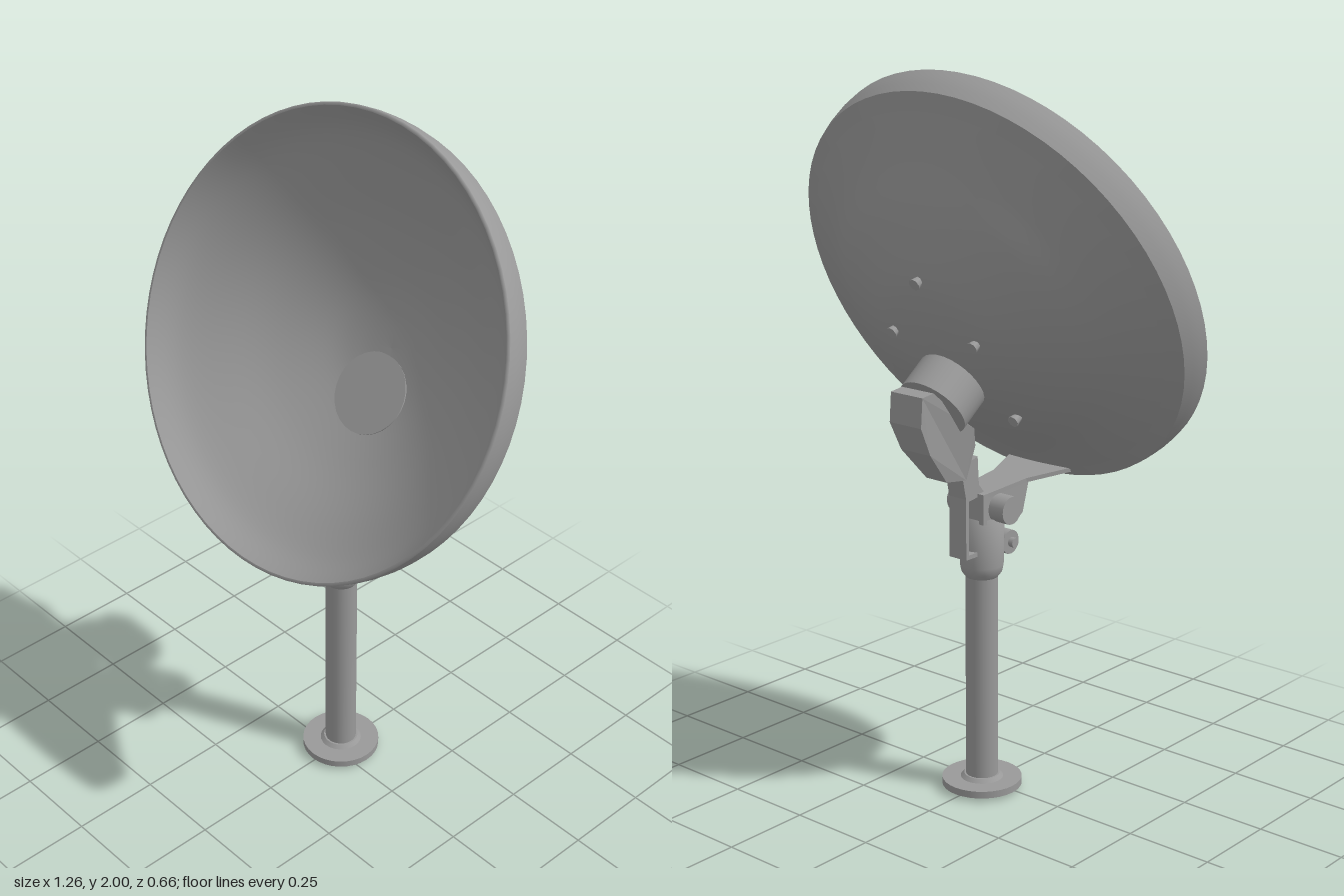
import * as THREE from 'three';

const grey = new THREE.MeshStandardMaterial({ color: 0x999999, side: THREE.DoubleSide });
grey.name = 'grey metal';
const POLE_Z = -0.029;

function add(parent, name, geometry, x = 0, y = 0, z = 0) {
  const mesh = new THREE.Mesh(geometry, grey);
  mesh.name = name;
  mesh.position.set(x, y, z);
  parent.add(mesh);
  return mesh;
}

// Outline of [z, y] points given a width across x
function sidePlate(points, width) {
  const shape = new THREE.Shape(points.map(([z, y]) => new THREE.Vector2(z, y)));
  const g = new THREE.ExtrudeGeometry(shape, { depth: width, bevelEnabled: false });
  return g.translate(0, 0, -width / 2).rotateY(-Math.PI / 2);
}

// Surface of revolution through [radius, height] points
const toVectors = (points) => points.map(([r, y]) => new THREE.Vector2(r, y));
const lathe = (points) => new THREE.LatheGeometry(toVectors(points), 72);

// Surface of revolution with a smooth curve through the points
function smoothLathe(points) {
  const curve = new THREE.SplineCurve(toVectors(points)).getPoints(28);
  return lathe(curve.map((p) => [Math.max(p.x, 0), p.y]));
}

function makeDish() {
  const dish = new THREE.Group();
  dish.name = 'dish';
  dish.position.set(0, 1.445, 0.075);
  dish.rotation.x = 1.14;
  dish.scale.z = 0.975;

  add(dish, 'bowlBack', smoothLathe([
    [0, -0.326], [0.1, -0.32], [0.2, -0.298], [0.34, -0.236], [0.46, -0.165], [0.57, -0.108],
  ]));
  add(dish, 'rimStep', lathe([[0.57, -0.108], [0.616, -0.088]]));
  add(dish, 'rimBand', lathe([[0.616, -0.088], [0.624, -0.06], [0.629, -0.03], [0.63, -0.003]]));
  add(dish, 'rimLip', lathe([[0.63, -0.003], [0.627, 0.001], [0.621, 0]]));
  add(dish, 'bowlInside', smoothLathe([
    [0.621, 0], [0.565, -0.072], [0.46, -0.148], [0.34, -0.222], [0.2, -0.284], [0.1, -0.307], [0, -0.313],
  ]));

  // Hub passing through the lower part of the bowl
  const hub = new THREE.Group();
  hub.name = 'hub';
  hub.position.set(0, -0.289, 0.134);
  hub.rotation.x = -0.22;
  dish.add(hub);
  add(hub, 'hubFace', new THREE.CylinderGeometry(0.117, 0.117, 0.01, 28), 0, -0.003, 0);
  add(hub, 'hubBarrel', new THREE.CylinderGeometry(0.1, 0.1, 0.1, 28), 0, -0.064, 0);

  // Small studs on the bowl's back
  for (const [x, up] of [[0, 0.18], [-0.14, 0.01], [0.14, 0.01], [-0.14, -0.27], [0.14, -0.27]]) {
    const y = -0.326 + 0.75 * (x * x + up * up);
    add(dish, 'stud', new THREE.CylinderGeometry(0.012, 0.017, 0.026, 8), x, y - 0.006, -up);
  }
  return dish;
}

function makeMount() {
  const mount = new THREE.Group();
  mount.name = 'mount';

  // Collar and head around the top of the pole
  add(mount, 'collar', lathe([[0.045, 0.625], [0.056, 0.64], [0.06, 0.66], [0.062, 0.8], [0, 0.8]]), 0, 0, POLE_Z);
  add(mount, 'head', sidePlate([[0.11, 0.875], [0.085, 0.79], [0.05, 0.765], [-0.08, 0.79], [-0.08, 0.875]], 0.1));
  const pivot = add(mount, 'pivotBarrel', new THREE.CylinderGeometry(0.039, 0.039, 0.2, 20), 0, 0.828, -0.02);
  pivot.rotation.z = Math.PI / 2;

  // Clamp bolt on the front of the collar
  const knob = add(mount, 'clampKnob', new THREE.CylinderGeometry(0.034, 0.034, 0.06, 16), 0, 0.705, 0.058);
  knob.rotation.z = Math.PI / 2;
  const bolt = add(mount, 'clampBolt', new THREE.CylinderGeometry(0.014, 0.014, 0.09, 10), 0, 0.705, 0.06);
  bolt.rotation.z = Math.PI / 2;

  // Thin flared tongue reaching to the lower edge of the dish
  const outline = [[-0.05, 0.06], [0.05, 0.06], [0.06, -0.09], [0.11, -0.22], [-0.11, -0.22], [-0.06, -0.09]];
  const tongue = new THREE.ExtrudeGeometry(
    new THREE.Shape(toVectors(outline)),
    { depth: 0.012, bevelEnabled: false },
  );
  add(mount, 'tongue', tongue.rotateX(-Math.PI / 2), 0, 0.868, 0).rotation.x = -0.08;

  // Rear link and strap
  add(mount, 'rearLink', sidePlate([
    [-0.05, 0.87], [-0.075, 0.9], [-0.08, 0.98], [-0.115, 0.97], [-0.14, 0.93], [-0.125, 0.86],
  ], 0.06));
  add(mount, 'rearStrap', new THREE.BoxGeometry(0.06, 0.18, 0.012), 0, 0.79, -0.121);
  add(mount, 'strapFoot', new THREE.BoxGeometry(0.06, 0.012, 0.05), 0, 0.704, -0.102);

  // Support arm, narrowing toward its lower end
  const arm = sidePlate([
    [-0.28, 1.195], [-0.322, 1.19], [-0.328, 1.11], [-0.29, 1.03], [-0.21, 0.937],
    [-0.13, 0.925], [-0.112, 1.02], [-0.122, 1.07], [-0.165, 1.1],
  ], 0.11);
  const p = arm.attributes.position;
  for (let i = 0; i < p.count; i++) {
    const t = THREE.MathUtils.clamp((p.getY(i) - 0.92) / 0.13, 0, 1);
    p.setX(i, p.getX(i) * (0.6 + 0.4 * t));
  }
  arm.computeVertexNormals();
  add(mount, 'supportArm', arm);
  return mount;
}

export function createModel() {
  const model = new THREE.Group();
  model.name = 'satelliteDish';

  // Round foot and pole
  add(model, 'foot', new THREE.CylinderGeometry(0.112, 0.112, 0.02, 32), 0, 0.02, POLE_Z);
  add(model, 'footNub', new THREE.CylinderGeometry(0.05, 0.045, 0.012, 16), 0, 0.006, POLE_Z);
  add(model, 'poleFlange', new THREE.CylinderGeometry(0.05, 0.06, 0.01, 24), 0, 0.035, POLE_Z);
  add(model, 'pole', new THREE.CylinderGeometry(0.045, 0.045, 0.63, 24), 0, 0.335, POLE_Z);

  model.add(makeMount(), makeDish());
  return model;
}
